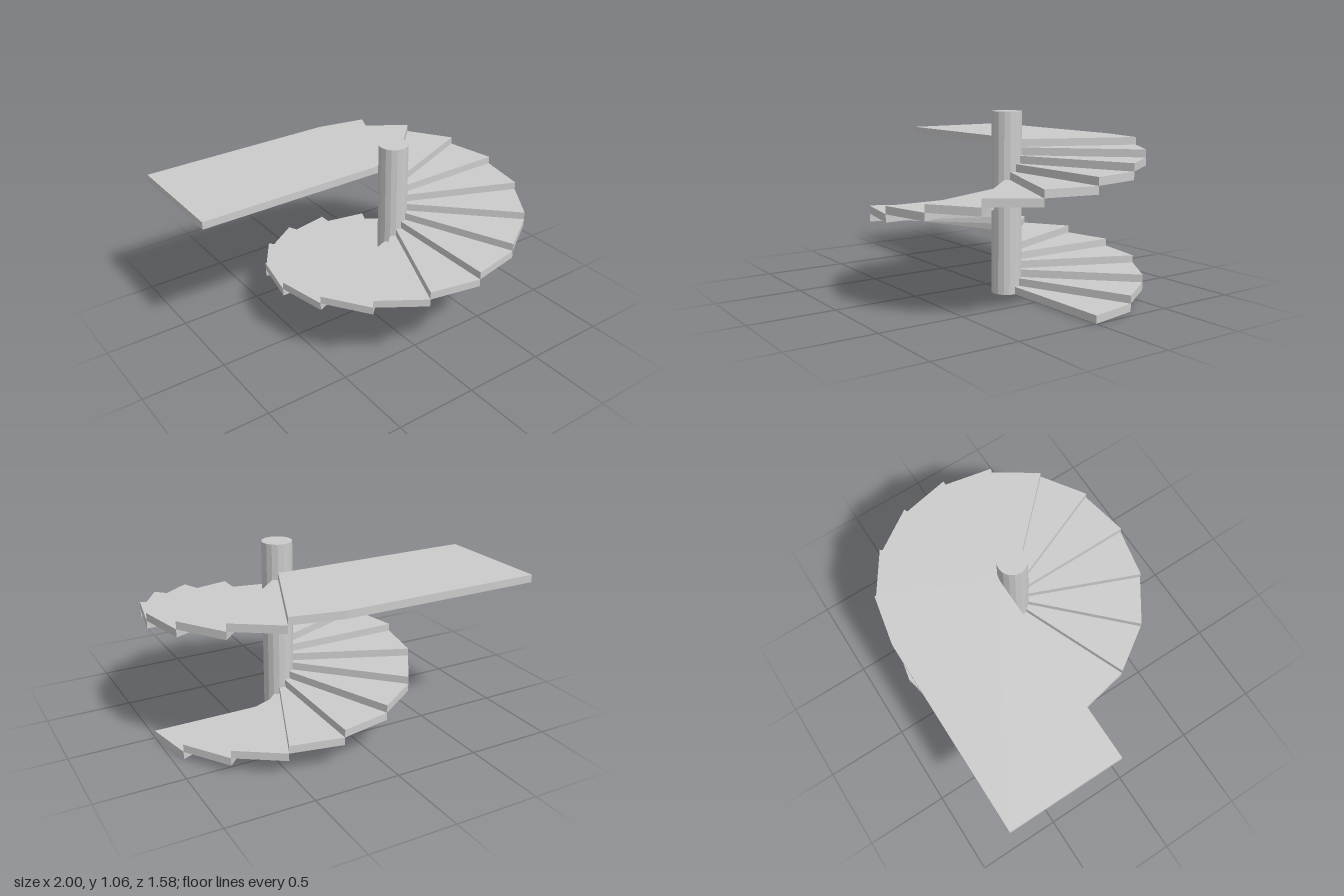
import * as THREE from 'three';

const STEPS = 20, TURN = Math.PI / 8, RISE = 0.045;
const POLE_X = 0.208, INNER = 0.089, OUTER = 0.792;

const material = new THREE.MeshStandardMaterial({ color: 0xcccccc, flatShading: true });

// Point on a circle around the pole, in plan (shape y points to the back)
const polar = (r, a) => new THREE.Vector2(POLE_X + r * Math.cos(a), r * Math.sin(a));

// Horizontal slab from a plan outline, one rise thick
function slab(points, y, name) {
  const geometry = new THREE.ExtrudeGeometry(new THREE.Shape(points), { depth: RISE, bevelEnabled: false });
  geometry.rotateX(-Math.PI / 2);
  const mesh = new THREE.Mesh(geometry, material);
  mesh.position.y = y;
  mesh.name = name;
  return mesh;
}

export function createModel() {
  const group = new THREE.Group();
  group.name = 'spiralStaircase';

  // Central pole
  const height = 1.064;
  const pole = new THREE.Mesh(new THREE.CylinderGeometry(INNER, INNER, height, 16), material);
  pole.position.set(POLE_X, height / 2, 0);
  pole.name = 'centralPole';
  group.add(pole);

  // Wedge treads, sixteen to a turn; the last one runs on into the landing
  for (let i = 0; i < STEPS; i++) {
    const a = i * TURN, b = a + TURN;
    const outline = [polar(INNER, a), polar(OUTER, a), polar(OUTER, b)];
    const last = i === STEPS - 1;
    if (last) outline.push(new THREE.Vector2(-1, OUTER), new THREE.Vector2(-1, INNER));
    outline.push(polar(INNER, b));
    group.add(slab(outline, i * RISE, last ? 'landing' : `tread${i + 1}`));
  }
  return group;
}
